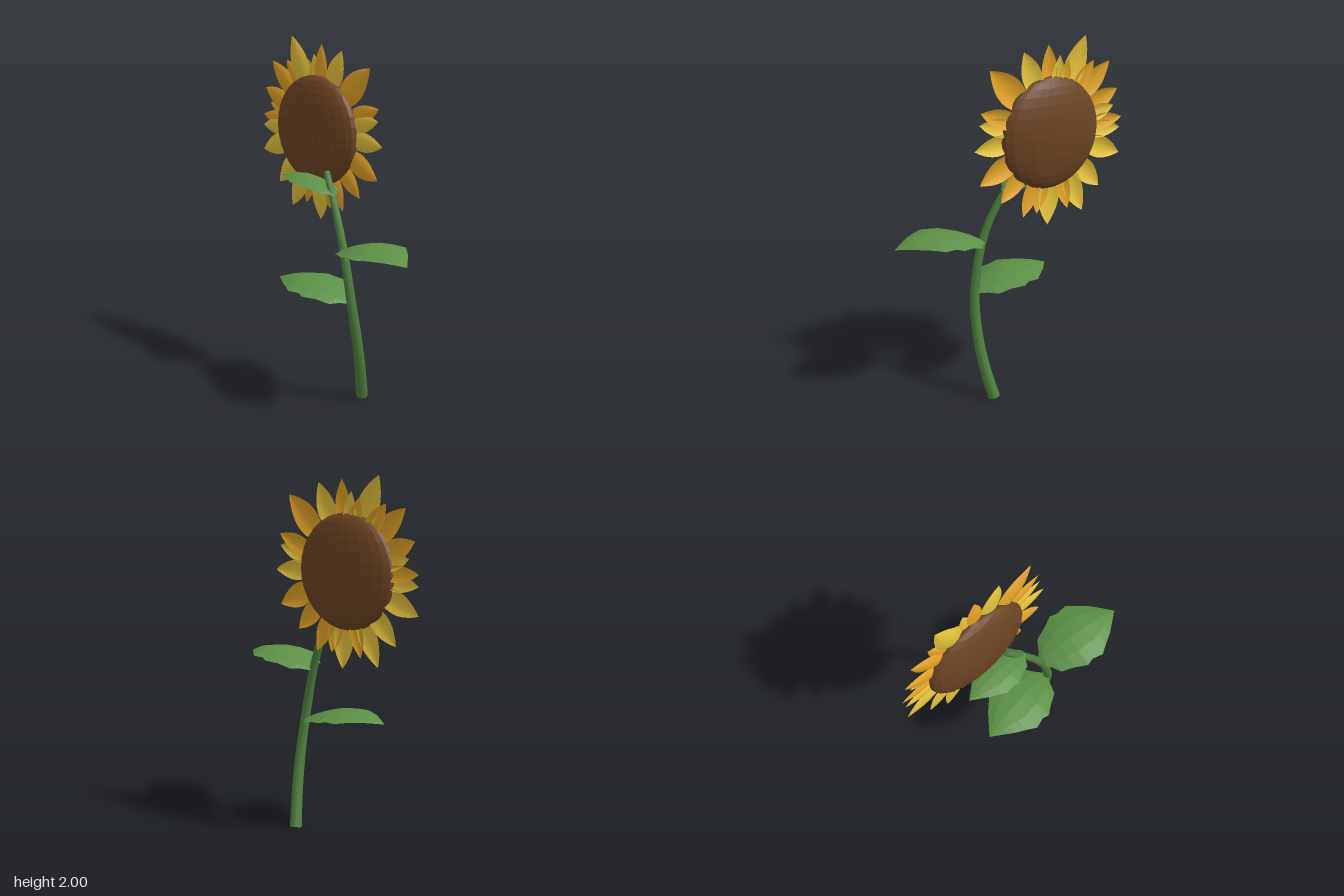
import * as THREE from 'three';

const paint = (name, color, side = THREE.FrontSide) => {
  const m = new THREE.MeshStandardMaterial({ color, side });
  m.name = name;
  return m;
};

// Open surface from a rule: fn(u, v) gives a point for u in 0..1 and v in -1..1
function surface(us, vs, fn) {
  const pos = [], idx = [], n = vs.length;
  us.forEach(u => vs.forEach(v => pos.push(...fn(u, v))));
  for (let i = 0; i < us.length - 1; i++) {
    for (let j = 0; j < n - 1; j++) {
      const a = i * n + j, b = a + n;
      idx.push(a, b, a + 1, b, b + 1, a + 1);
    }
  }
  const g = new THREE.BufferGeometry();
  g.setAttribute('position', new THREE.Float32BufferAttribute(pos, 3));
  g.setIndex(idx);
  g.computeVertexNormals();
  return g;
}

const faceted = g => {
  const f = g.toNonIndexed();
  f.computeVertexNormals();
  return f;
};

const steps = (n, a, b) => Array.from({ length: n + 1 }, (_, i) => a + (b - a) * i / n);

export function createModel() {
  const model = new THREE.Group();
  model.name = 'sunflower';
  const stemGreen = paint('stem green', 0x4f7f3e);
  const leafGreen = paint('leaf green', 0x5c9046, THREE.DoubleSide);
  const brown = paint('seed brown', 0x6b4423);
  const yellow = paint('petal yellow', 0xe8c63c, THREE.DoubleSide);
  const orange = paint('petal orange', 0xeaa828, THREE.DoubleSide);

  const add = (name, geometry, material, parent = model) => {
    const mesh = new THREE.Mesh(geometry, material);
    mesh.name = name;
    parent.add(mesh);
    return mesh;
  };

  // Curved, tapering stem
  const path = new THREE.CatmullRomCurve3([
    [0.172, 0.01, -0.127], [0.205, 0.2, -0.075], [0.22, 0.4, -0.03], [0.21, 0.62, 0.005],
    [0.15, 0.92, 0.01], [0.06, 1.13, -0.015], [-0.05, 1.295, -0.06],
  ].map(p => new THREE.Vector3(...p)));
  const rings = 32, sides = 10;
  const radiusAt = t => 0.034 - 0.016 * t;
  const stem = new THREE.TubeGeometry(path, rings, 1, sides);
  const p = stem.attributes.position, v = new THREE.Vector3();
  for (let i = 0; i < p.count; i++) {
    const t = Math.floor(i / (sides + 1)) / rings, c = path.getPointAt(t);
    v.fromBufferAttribute(p, i).sub(c).multiplyScalar(radiusAt(t)).add(c);
    p.setXYZ(i, v.x, v.y, v.z);
  }
  add('stem', stem, stemGreen);
  for (const [t, dir, name] of [[0, -1, 'stemFoot'], [1, 1, 'stemTip']]) {
    const cap = add(name, new THREE.CircleGeometry(radiusAt(t), sides), stemGreen);
    cap.position.copy(path.getPointAt(t));
    cap.lookAt(path.getTangentAt(t).multiplyScalar(dir).add(cap.position));
  }

  // Arched leaves with a toothed margin: [distance along, half width]
  const margin = [[0, 0.02], [0.06, 0.06], [0.12, 0.116], [0.25, 0.144], [0.38, 0.18], [0.46, 0.167],
    [0.58, 0.178], [0.67, 0.144], [0.79, 0.1], [0.85, 0.072], [1, 0]];
  const width = new Map(margin);
  function leaf(name, base, tip, arch, size) {
    const a = new THREE.Vector3(...base), b = new THREE.Vector3(...tip);
    const across = new THREE.Vector3().subVectors(b, a).setY(0).normalize();
    across.set(-across.z, 0, across.x);
    const g = surface(margin.map(m => m[0]), [-1, -0.5, 0, 0.5, 1], (u, s) => {
      const w = width.get(u) * size;
      const q = a.clone().lerp(b, u).addScaledVector(across, w * s);
      q.y += arch * 4 * u * (1 - u) - 0.2 * w * s * s;
      return q.toArray();
    });
    // Keep the upper side as the front face
    const flat = faceted(g);
    if (flat.attributes.normal.getY(0) < 0) {
      const index = g.index.array;
      for (let i = 0; i < index.length; i += 3) [index[i], index[i + 1]] = [index[i + 1], index[i]];
    }
    add(name, faceted(g), leafGreen);
  }
  leaf('leftLeaf', [0.15, 0.91, 0], [0.66, 0.95, 0.067], 0.07, 1);
  leaf('rightLeaf', [0.2, 0.62, 0], [-0.305, 0.655, 0.067], 0.065, 1);
  leaf('topLeaf', [0.05, 1.19, -0.03], [-0.355, 1.235, -0.01], 0.05, 0.64);

  // Flower head: a flattened ball
  const head = new THREE.Group();
  head.name = 'flowerHead';
  head.position.set(-0.192, 1.495, -0.122);
  model.add(head);
  const disc = new THREE.SphereGeometry(0.307, 24, 16);
  disc.scale(1, 1, 0.295);
  add('disc', faceted(disc), brown, head);

  // Small seeds set in a spiral, barely rising from the front
  const seeds = new THREE.Group();
  seeds.name = 'seeds';
  head.add(seeds);
  const seed = new THREE.SphereGeometry(0.006, 6, 4);
  for (let i = 0; i < 90; i++) {
    const r = 0.27 * Math.sqrt((i + 0.5) / 90), a = i * 2.39996;
    add('seed', seed, brown, seeds)
      .position.set(r * Math.cos(a), r * Math.sin(a), 0.088 * Math.sqrt(1 - (r / 0.307) ** 2));
  }

  // Petals: [angle in degrees, reach, half width, orange?, depth layer]
  const petals = [
    [113, 0.545, 0.07, 0, 0], [96, 0.42, 0.04, 0, 1], [87, 0.478, 0.05, 1, 0], [68.5, 0.49, 0.062, 0, 0],
    [45, 0.545, 0.075, 1, 0], [21.5, 0.48, 0.052, 1, 1], [14, 0.465, 0.05, 0, 0], [-2.5, 0.482, 0.055, 0, 0],
    [-25, 0.497, 0.065, 1, 0], [-46, 0.462, 0.055, 1, 0], [-67, 0.474, 0.05, 1, 1], [-78, 0.445, 0.05, 1, 0],
    [-88, 0.515, 0.068, 0, 0], [-104, 0.455, 0.045, 1, 1], [-114.5, 0.525, 0.062, 0, 0],
    [-133, 0.483, 0.06, 0, 0], [-158.5, 0.5, 0.062, 0, 0], [184.5, 0.465, 0.05, 0, 0],
    [177, 0.47, 0.045, 1, 1], [166.5, 0.42, 0.045, 0, 1], [157, 0.475, 0.058, 1, 0],
    [137.5, 0.512, 0.06, 1, 0], [126, 0.45, 0.05, 1, 1], [104, 0.4, 0.04, 1, 1],
  ];
  for (const [angle, reach, half, isOrange, layer] of petals) {
    const start = 0.21;
    const g = surface(steps(10, 0, 1), steps(6, -1, 1), (u, s) => {
      const w = Math.sin(Math.PI * (0.06 + 0.94 * u)) ** 0.9 * half;
      return [start + (reach - start) * u, w * s, 0.3 * w * (1 - s * s)];
    });
    const petal = add('petal', g, isOrange ? orange : yellow, head);
    petal.position.z = -0.014 - 0.008 * layer;
    petal.rotation.z = THREE.MathUtils.degToRad(angle);
  }
  return model;
}
